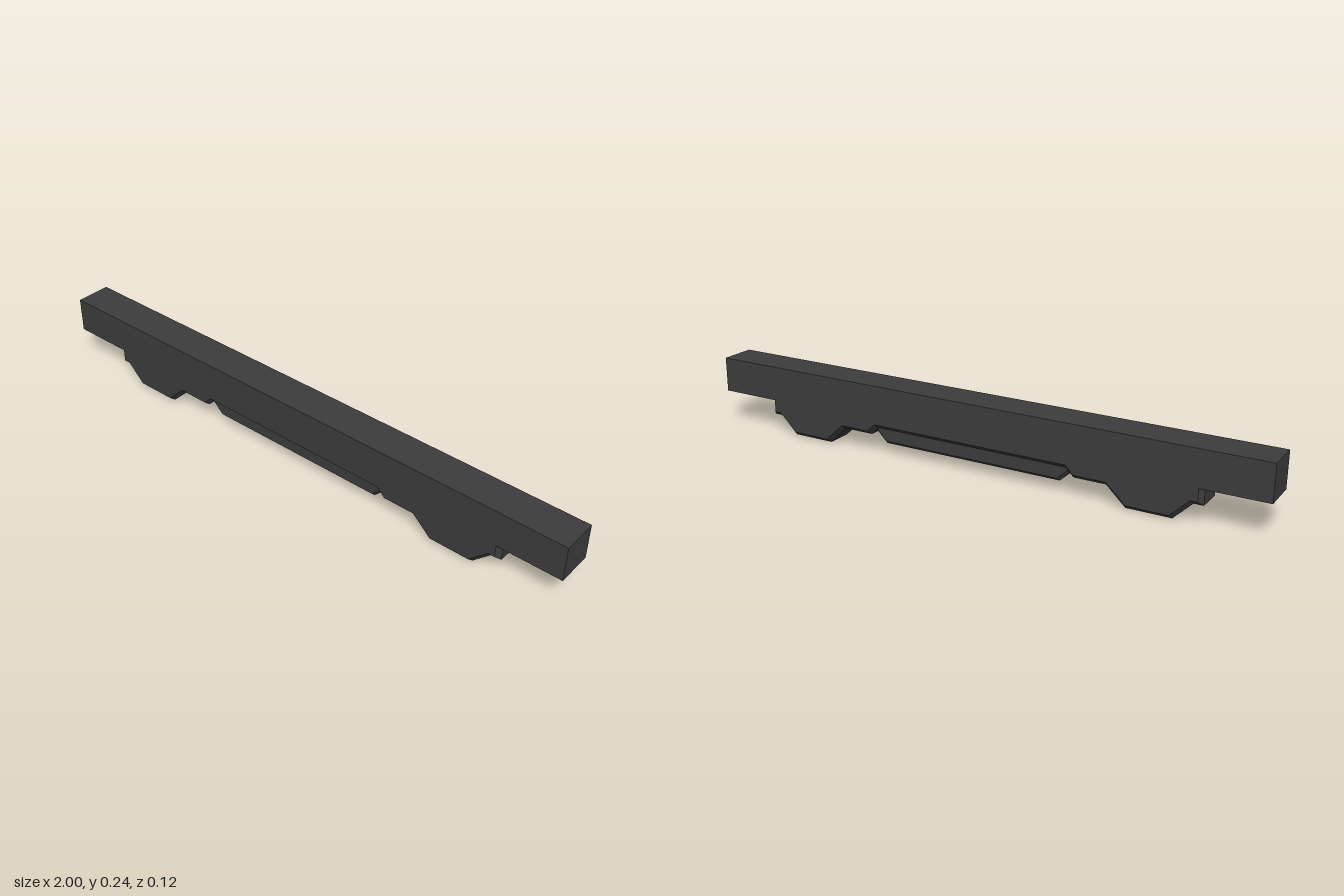
import * as THREE from 'three';

const material = new THREE.MeshStandardMaterial({ color: 0x3c3c3c, flatShading: true });

// Extrudes half a profile, mirrored in x, to a total depth with chamfered rims inside the outline.
function chamferedBar(name, half, depth, chamfer, chamferDepth) {
  const mirrored = half.map(([x, y]) => [-x, y]).reverse();
  const shape = new THREE.Shape([...half, ...mirrored].map(([x, y]) => new THREE.Vector2(x, y)));
  const geometry = new THREE.ExtrudeGeometry(shape, {
    depth: depth - 2 * chamferDepth,
    bevelEnabled: true,
    bevelSegments: 1,
    bevelSize: chamfer,
    bevelThickness: chamferDepth,
    bevelOffset: -chamfer,
  });
  geometry.translate(0, 0, chamferDepth - depth / 2);
  const mesh = new THREE.Mesh(geometry, material);
  mesh.name = name;
  return mesh;
}

export function createModel() {
  const model = new THREE.Group();
  model.name = 'footedBeam';
  const depth = 0.124;

  // Straight top beam
  const beam = new THREE.Mesh(new THREE.BoxGeometry(2, 0.122, depth), material);
  beam.name = 'topBeam';
  beam.position.y = 0.179;
  model.add(beam);

  // Lower body with two tapered feet and a shallow central recess;
  // its upper chamfer is buried in the beam
  model.add(chamferedBar('lowerBody', [
    [0.35, 0.09], [0.378, 0.062], [0.487, 0.062], [0.553, 0],
    [0.703, 0], [0.765, 0.061], [0.797, 0.061], [0.797, 0.132],
  ], depth, 0.014, 0.017));

  // Narrower rail hanging in the recess
  model.add(chamferedBar('centreRail', [
    [0.325, 0.036], [0.368, 0.078], [0.368, 0.12],
  ], 0.084, 0.01, 0.01));

  return model;
}
